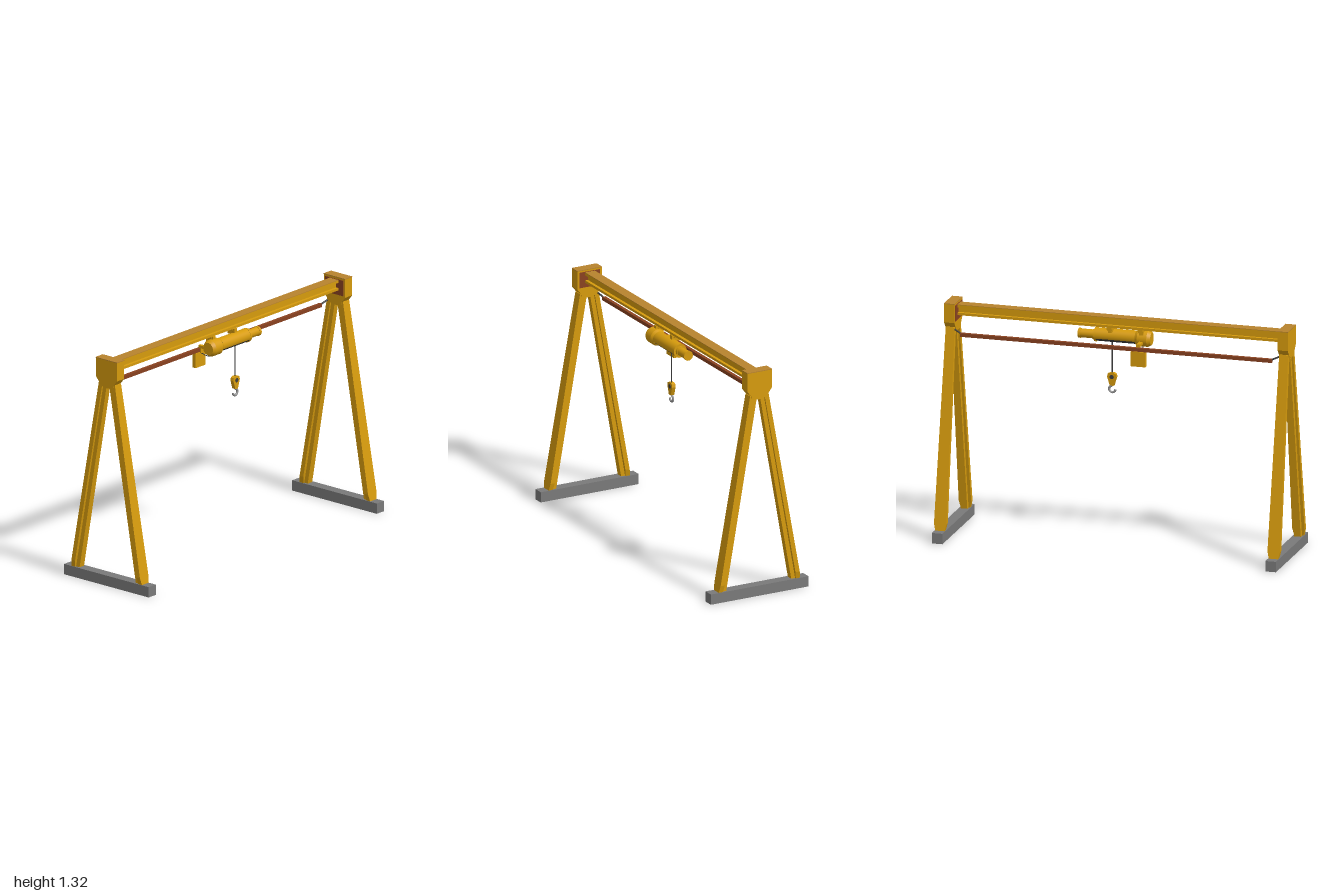
import * as THREE from 'three';

const mat = (name, color, extra = {}) => {
  const m = new THREE.MeshStandardMaterial({ color, ...extra });
  m.name = name;
  return m;
};

export function createModel() {
  const root = new THREE.Group();
  root.name = 'gantryCrane';
  const gold = mat('goldPaint', 0xd69b0d);
  const goldOpen = mat('goldCover', 0xd69b0d, { side: THREE.DoubleSide });
  const tan = mat('tanTop', 0xb8832e);
  const brown = mat('brownRail', 0x8a4220);
  const gray = mat('grayBase', 0x7a7a7a);
  const dark = mat('darkSteel', 0x3c3c3c);
  const steel = mat('hookSteel', 0x9a9a9a);

  const add = (name, geo, material, x = 0, y = 0, z = 0, parent = root) => {
    const mesh = new THREE.Mesh(geo, material);
    mesh.name = name;
    mesh.position.set(x, y, z);
    parent.add(mesh);
    return mesh;
  };
  const box = (name, w, h, d, material, x, y, z, parent) =>
    add(name, new THREE.BoxGeometry(w, h, d), material, x, y, z, parent);
  // cylinder lying along x, from x0 to x1
  const barrel = (name, r, x0, x1, material, y, z, r2 = r) => {
    const g = new THREE.CylinderGeometry(r, r2, x1 - x0, 32).rotateZ(-Math.PI / 2);
    return add(name, g, material, (x0 + x1) / 2, y, z);
  };
  const cable = (name, pts, r, material) => {
    const curve = new THREE.CatmullRomCurve3(pts.map(p => new THREE.Vector3(...p)));
    return add(name, new THREE.TubeGeometry(curve, 24, r, 8), material);
  };
  const extrude = (pts, depth) => {
    const shape = new THREE.Shape(pts.map(p => new THREE.Vector2(...p)));
    return new THREE.ExtrudeGeometry(shape, { depth, bevelEnabled: false });
  };
  const mirrored = pts => [...pts, ...pts.map(([x, y]) => [-x, y]).reverse()];

  // leaning leg member: tapered outline, sheared toward the middle as it rises
  const slope = -0.178;
  const leanMember = (pts, depth, z0, dir) => {
    const g = extrude(mirrored(pts), depth);
    g.translate(0, 0, dir > 0 ? z0 : -z0 - depth);
    const p = g.attributes.position;
    for (let i = 0; i < p.count; i++) {
      p.setZ(i, p.getZ(i) + dir * slope * (p.getY(i) - 0.06));
    }
    g.computeVertexNormals();
    return g;
  };

  for (const side of [-1, 1]) {
    const frame = new THREE.Group();
    frame.name = side > 0 ? 'leftEndFrame' : 'rightEndFrame';
    frame.position.x = side * 0.964;
    root.add(frame);

    box('footBeam', 0.061, 0.06, 0.62, gray, 0, 0.03, 0, frame);

    // legs: wide outer flange plus narrower inner web
    for (const dir of [-1, 1]) {
      add('legFlange', leanMember([[0.027, 0.06], [0.036, 0.1], [0.026, 1.18]], 0.027, 0.231, dir), gold, 0, 0, 0, frame);
      add('legWeb', leanMember([[0.019, 0.06], [0.016, 1.165]], 0.025, 0.206, dir), gold, 0, 0, 0, frame);
    }

    // head block
    const head = extrude(mirrored([[0.014, 1.154], [0.048, 1.165], [0.05, 1.175], [0.078, 1.21], [0.078, 1.317]]), 0.059);
    head.translate(0, 0, -0.0295).rotateY(Math.PI / 2);
    add('headBlock', head, gold, 0, 0, 0, frame);
    box('headCap', 0.061, 0.004, 0.157, tan, 0, 1.318, 0, frame);
    box('beamEndPlate', 0.005, 0.09, 0.13, brown, -side * 0.031, 1.262, 0, frame);

    // arm holding the conductor rail
    cable('railArm', [[side * 0.94, 1.168, -0.055], [side * 0.92, 1.16, -0.062], [side * 0.89, 1.146, -0.07]], 0.005, dark);
  }

  // main beam, an I-section
  box('beamTopFlange', 1.87, 0.014, 0.062, gold, 0, 1.295, 0);
  box('beamTopPlate', 1.87, 0.003, 0.062, tan, 0, 1.3035, 0);
  box('beamWeb', 1.87, 0.04, 0.026, gold, 0, 1.272, 0);
  box('beamBottomFlange', 1.87, 0.014, 0.062, gold, 0, 1.251, 0);

  // conductor rail behind the beam
  box('conductorRail', 1.8, 0.02, 0.02, brown, 0, 1.145, -0.071);

  // hoist
  const hy = 1.182, hz = 0.034;
  barrel('gearHousing', 0.047, -0.155, -0.1, gold, hy, hz);
  barrel('gearHousingEnd', 0.047, -0.174, -0.155, gold, hy, hz, 0.036);
  barrel('gearHousingNeck', 0.039, -0.1, -0.085, gold, hy, hz, 0.047);
  barrel('ropeDrum', 0.036, -0.085, 0.145, dark, hy, hz);
  const cover = new THREE.CylinderGeometry(0.039, 0.039, 0.235, 32, 1, true, Math.PI / 2 - 2, 4);
  add('drumCover', cover.rotateZ(Math.PI / 2), goldOpen, 0.0325, hy, hz);
  barrel('drumFlange', 0.04, 0.143, 0.153, gold, hy, hz);
  barrel('motor', 0.025, 0.153, 0.235, gold, hy, hz);
  barrel('motorCap', 0.028, 0.235, 0.248, gold, hy, hz);
  barrel('motorCollar', 0.028, 0.153, 0.165, gold, hy, hz);

  // trolley hangers with wheels on the beam
  for (const x of [-0.125, 0.055]) {
    box('trolleyHanger', 0.022, 0.035, 0.05, gold, x, 1.227, 0.012);
    for (const z of [-0.024, 0.024]) {
      const wheel = new THREE.CylinderGeometry(0.015, 0.015, 0.01, 20).rotateX(Math.PI / 2);
      add('trolleyWheel', wheel, gold, x, 1.238, z);
    }
  }

  // control box with its arm and feed cable
  box('controlBox', 0.085, 0.085, 0.022, gold, -0.128, 1.091, -0.071);
  box('collectorArm', 0.02, 0.016, 0.1, gold, -0.125, 1.165, -0.02);
  box('collectorPost', 0.02, 0.04, 0.008, gold, -0.125, 1.15, -0.056);
  cable('feedCable', [[-0.125, 1.14, 0.034], [-0.125, 1.124, 0.01], [-0.125, 1.12, -0.02], [-0.125, 1.128, -0.06]], 0.0025, dark);

  // hoisting rope, hook block and hook
  const hx = 0.055;
  add('hoistRope', new THREE.CylinderGeometry(0.003, 0.003, 0.2, 8), dark, hx, 1.06, hz);
  const block = extrude(mirrored([[0.011, 0.895], [0.027, 0.945], [0.024, 0.962], [0.012, 0.968]]), 0.022);
  add('hookBlock', block.translate(0, 0, -0.011), gold, hx, 0, hz);
  const sheave = new THREE.CylinderGeometry(0.012, 0.012, 0.026, 20).rotateX(Math.PI / 2);
  add('sheave', sheave, dark, hx, 0.945, hz);
  cable('hook', [[hx, 0.9, hz], [hx + 0.004, 0.892, hz], [hx + 0.017, 0.882, hz], [hx + 0.015, 0.863, hz],
    [hx - 0.002, 0.855, hz], [hx - 0.016, 0.864, hz], [hx - 0.018, 0.874, hz]], 0.0065, steel);

  return root;
}
